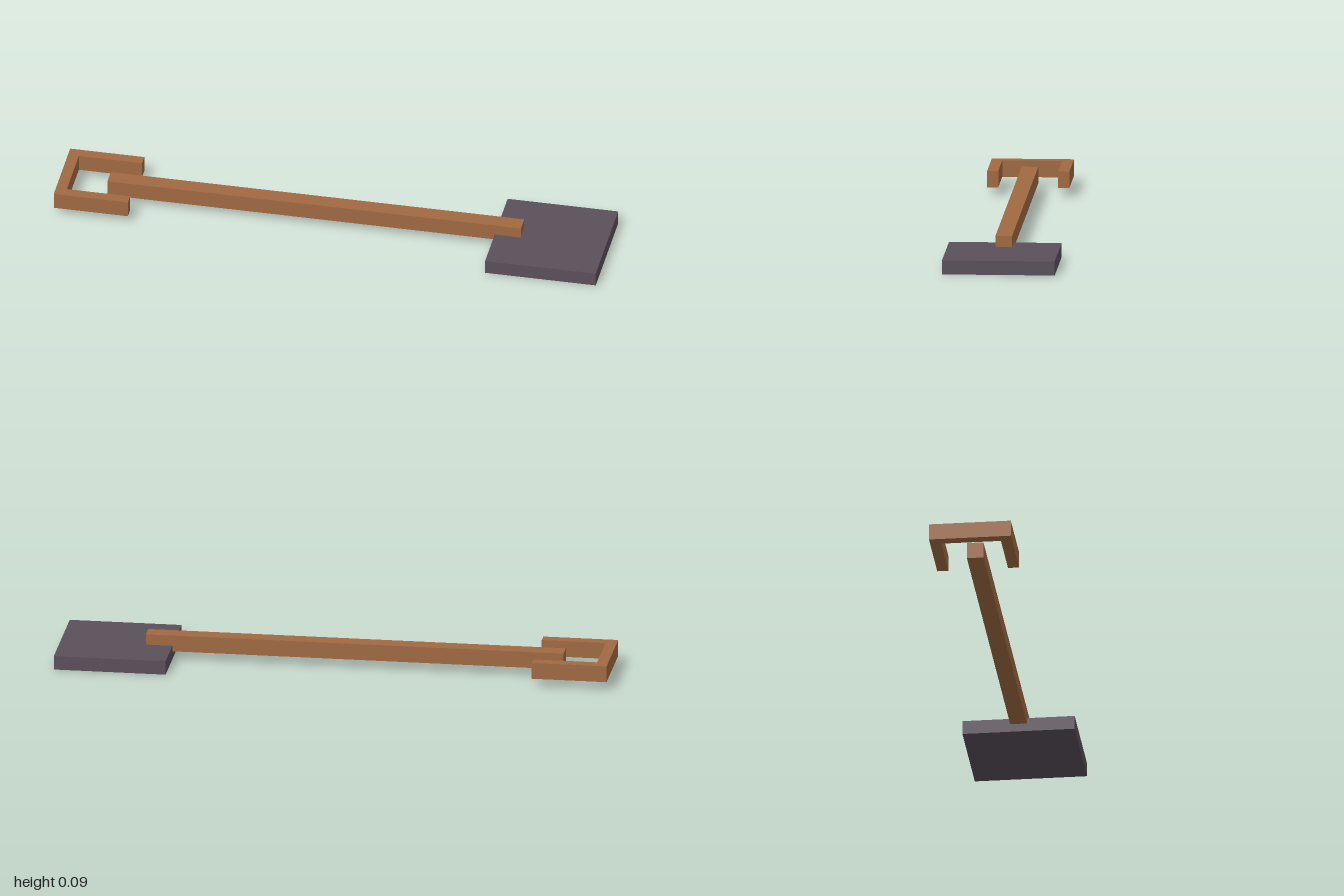
import * as THREE from 'three';

export function createModel() {
  const model = new THREE.Group();
  const wood = new THREE.MeshStandardMaterial({ color: 0xa06a42 });
  wood.name = 'brown wood';
  const metal = new THREE.MeshStandardMaterial({ color: 0x5a505b });
  metal.name = 'dark metal';

  // Box spanning x0..x1, y0..y1 and z0..z1
  function box(name, material, x0, x1, y0, y1, z0, z1) {
    const mesh = new THREE.Mesh(new THREE.BoxGeometry(x1 - x0, y1 - y0, z1 - z0), material);
    mesh.position.set((x0 + x1) / 2, (y0 + y1) / 2, (z0 + z1) / 2);
    mesh.name = name;
    model.add(mesh);
  }

  // Flat blade and long shaft resting on it
  box('blade', metal, 0.594, 1, 0, 0.051, -0.203, 0.203);
  box('shaft', wood, -0.827, 0.69, 0.03, 0.09, -0.03, 0.03);

  // U-shaped grip, one extruded outline laid flat
  const w = 0.148, t = 0.04, x0 = -1, x1 = -0.728;
  const outline = new THREE.Shape([
    [x0, -w], [x1, -w], [x1, -w + t], [x0 + t, -w + t],
    [x0 + t, w - t], [x1, w - t], [x1, w], [x0, w],
  ].map(([x, z]) => new THREE.Vector2(x, z)));
  const geometry = new THREE.ExtrudeGeometry(outline, { depth: 0.06, bevelEnabled: false });
  geometry.rotateX(-Math.PI / 2);
  const grip = new THREE.Mesh(geometry, wood);
  grip.position.y = 0.03;
  grip.name = 'grip';
  model.add(grip);

  return model;
}
